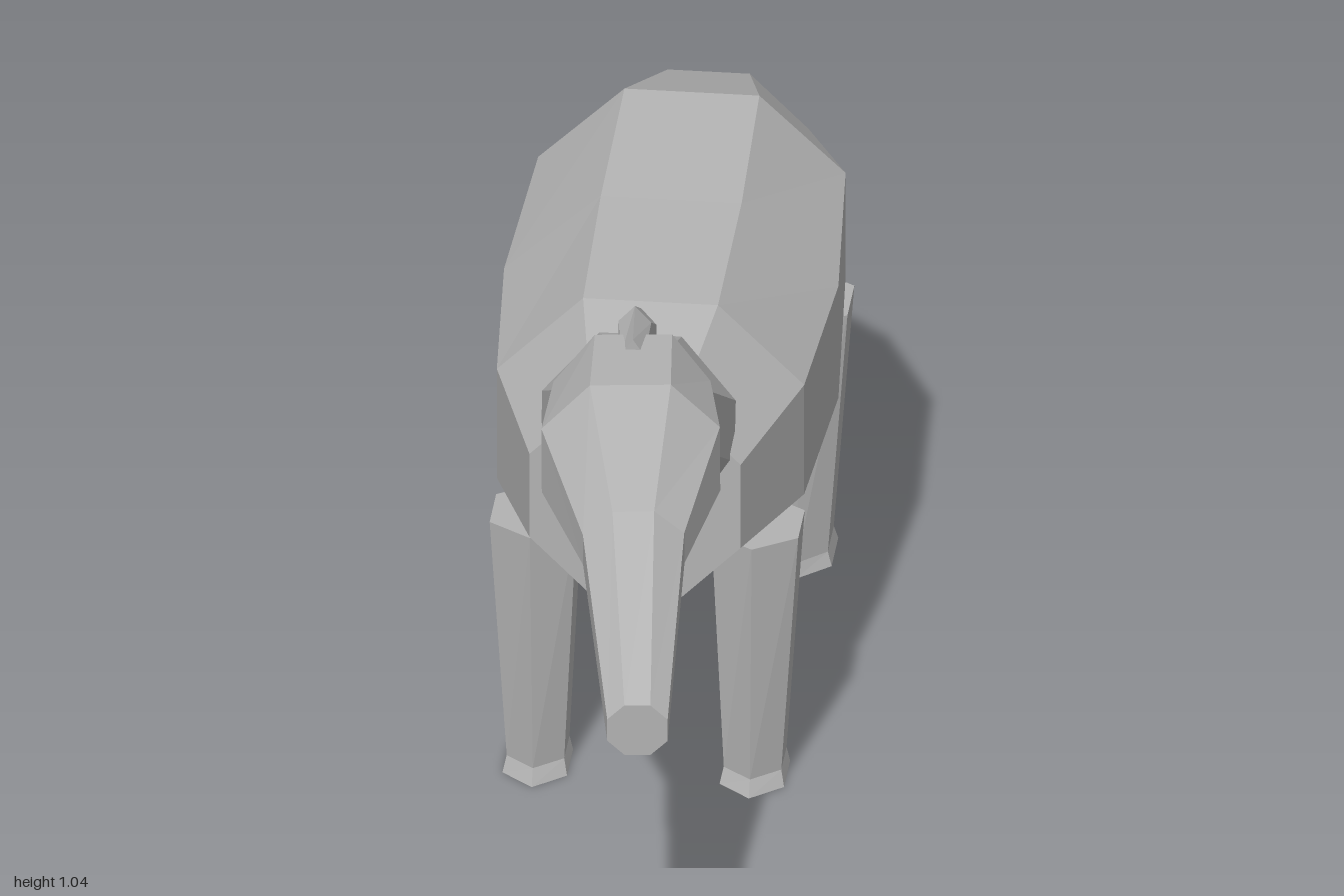
import * as THREE from 'three';

const hide = new THREE.MeshStandardMaterial({ color: 0xb2b2b2, flatShading: true });
hide.name = 'grey hide';

// Faceted skin through rings of points, each ring counter-clockwise seen from the loft's end
function loft(name, rings) {
  const pos = [];
  const tri = (...pts) => pts.forEach((p) => pos.push(...p));
  const n = rings[0].length;
  const middle = (ring) => [0, 1, 2].map((k) => ring.reduce((s, p) => s + p[k], 0) / n);
  const first = rings[0], last = rings[rings.length - 1];
  for (let i = 0; i < n; i++) {
    const j = (i + 1) % n;
    for (let r = 0; r < rings.length - 1; r++) {
      const a = rings[r], b = rings[r + 1];
      tri(a[i], a[j], b[j]);
      tri(a[i], b[j], b[i]);
    }
    tri(middle(first), first[j], first[i]);
    tri(middle(last), last[i], last[j]);
  }
  const g = new THREE.BufferGeometry();
  g.setAttribute('position', new THREE.Float32BufferAttribute(pos, 3));
  g.computeVertexNormals();
  const mesh = new THREE.Mesh(g, hide);
  mesh.name = name;
  return mesh;
}

// Eight-sided section: half-widths, four heights, z at bottom and top, turn to the side
function octagon({ cx = 0, w, wi, y, z, yaw = 0 }) {
  const [bottom, low, up, top] = y;
  const [zBottom, zTop] = Array.isArray(z) ? z : [z, z];
  const half = [[wi, bottom], [w, low], [w, up], [wi, top]];
  const outline = [...half, ...half.map(([x, h]) => [-x, h]).reverse()];
  return outline.map(([x, h]) => {
    const t = (h - bottom) / (top - bottom);
    return [cx + x, h, zBottom + (zTop - zBottom) * t - yaw * x];
  });
}

// Horizontal six-sided section of a leg, corner forward
function hexagon(cx, y, cz, rx, rz) {
  return Array.from({ length: 6 }, (_, i) => {
    const a = (i * Math.PI) / 3;
    return [cx + (rx * Math.sin(a)) / 0.866, y, cz + rz * Math.cos(a)];
  });
}

export function createModel() {
  const group = new THREE.Group();
  group.name = 'longSnoutedAnimal';

  // Barrel-shaped body, back to front
  group.add(loft('body', [
    { w: 0.17, wi: 0.07, y: [0.475, 0.575, 0.72, 0.82], z: -0.93 },
    { w: 0.262, wi: 0.115, y: [0.435, 0.58, 0.78, 0.92], z: -0.67 },
    { w: 0.285, wi: 0.12, y: [0.375, 0.52, 0.735, 0.885], z: -0.35 },
    { w: 0.262, wi: 0.115, y: [0.365, 0.505, 0.715, 0.86], z: -0.03 },
    { w: 0.18, wi: 0.075, y: [0.42, 0.525, 0.685, 0.79], z: 0.21 },
  ].map(octagon)));

  // Neck rising out of the shoulders
  group.add(loft('neck', [
    { w: 0.165, wi: 0.07, y: [0.54, 0.67, 0.775, 0.88], z: [0.2, 0.125] },
    { cx: 0.02, w: 0.125, wi: 0.06, y: [0.75, 0.815, 0.92, 0.995], z: [0.44, 0.38], yaw: 0.1 },
  ].map(octagon)));

  // Head and long snout, turned a little to the left
  group.add(loft('head', [
    { cx: 0.015, w: 0.132, wi: 0.065, y: [0.75, 0.825, 0.935, 1.012], z: [0.45, 0.37], yaw: 0.12 },
    { cx: 0.03, w: 0.15, wi: 0.068, y: [0.725, 0.805, 0.93, 1.015], z: [0.54, 0.555], yaw: 0.13 },
    { cx: 0.05, w: 0.085, wi: 0.035, y: [0.705, 0.74, 0.8, 0.845], z: [0.68, 0.69], yaw: 0.15 },
    { cx: 0.09, w: 0.051, wi: 0.022, y: [0.54, 0.567, 0.608, 0.635], z: 0.99, yaw: 0.1 },
  ].map(octagon)));

  // Narrow mane ridge along the back of the neck
  const ridge = (cx, w, top, low, z) => [
    [cx, low, z], [cx + w, low + 0.02, z], [cx + w, top - 0.03, z],
    [cx, top, z], [cx - w, top - 0.03, z], [cx - w, low + 0.02, z],
  ];
  group.add(loft('mane', [
    ridge(0, 0.026, 0.925, 0.79, 0.115),
    ridge(0.012, 0.028, 1.04, 0.93, 0.32),
    ridge(0.02, 0.02, 1.032, 0.98, 0.425),
  ]));

  // Short tail
  group.add(loft('tail', [
    { w: 0.03, wi: 0.012, y: [0.7, 0.72, 0.755, 0.785], z: -0.91 },
    { w: 0.012, wi: 0.005, y: [0.67, 0.677, 0.69, 0.7], z: [-0.985, -1] },
  ].map(octagon).reverse()));

  // Legs with slightly flared feet
  for (const [side, s] of [['left', 1], ['right', -1]]) {
    group.add(loft(side + 'FrontLeg', [
      hexagon(s * 0.185, 0, 0.035, 0.055, 0.095),
      hexagon(s * 0.185, 0.027, 0.03, 0.049, 0.082),
      hexagon(s * 0.189, 0.475, 0.022, 0.074, 0.1),
    ]));
    group.add(loft(side + 'HindLeg', [
      hexagon(s * 0.185, 0.03, -0.705, 0.055, 0.102),
      hexagon(s * 0.185, 0.055, -0.705, 0.048, 0.092),
      hexagon(s * 0.189, 0.505, -0.725, 0.076, 0.106),
    ]));
  }
  return group;
}
